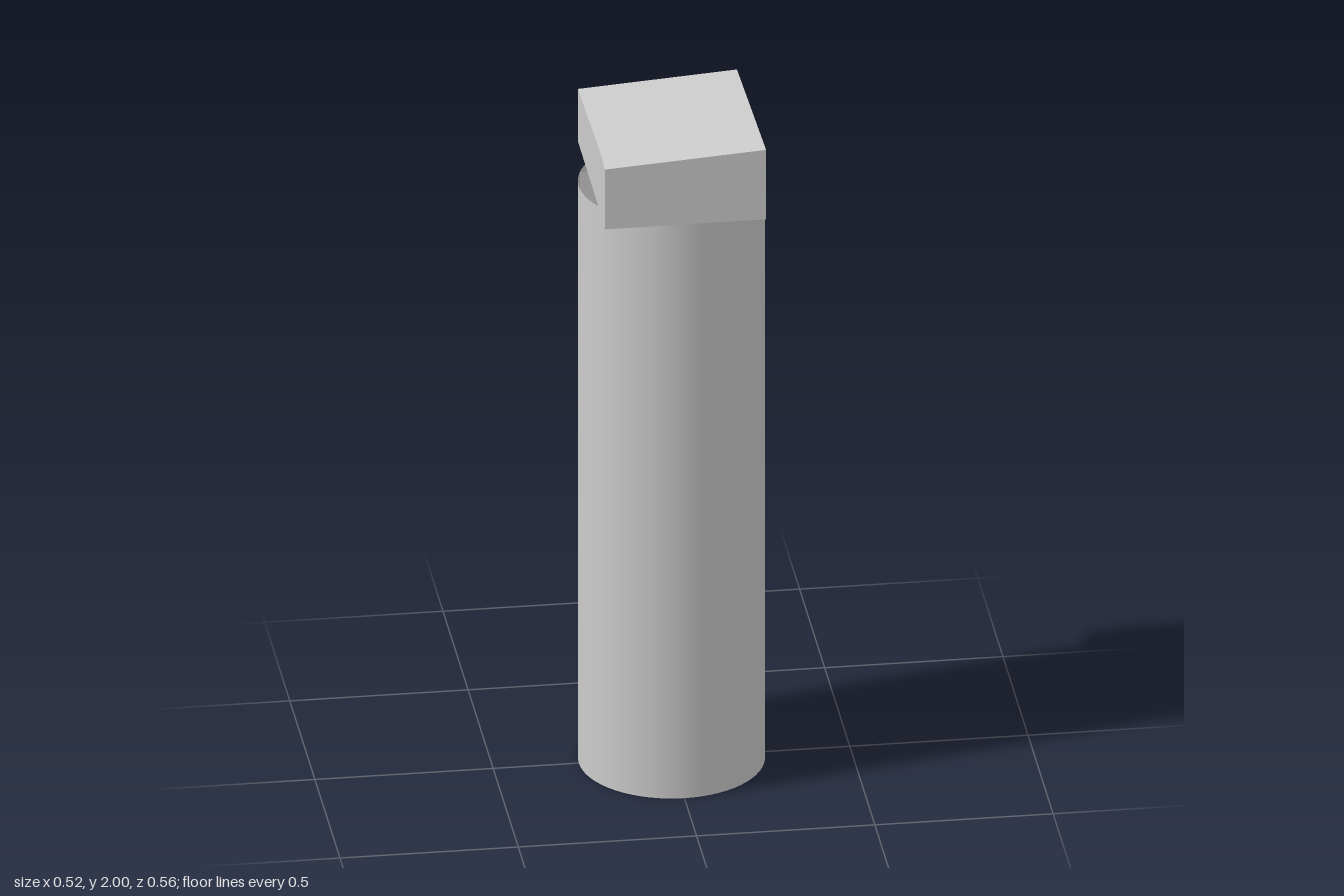
import * as THREE from 'three';

const material = new THREE.MeshStandardMaterial({ color: 0xcccccc, side: THREE.DoubleSide });
const RADIUS = 0.26, TUBE_HEIGHT = 1.785;

function add(parent, name, geometry) {
  const mesh = new THREE.Mesh(geometry, material);
  mesh.name = name;
  parent.add(mesh);
  return mesh;
}

// Hollow head: open underneath, sloping roof with a level strip along the front
function headGeometry() {
  const box = new THREE.BoxGeometry(1, 1, 1, 1, 1, 2);
  const index = Array.from(box.index.array);
  const floor = box.groups[3];
  index.splice(floor.start, floor.count);
  box.setIndex(index);
  box.clearGroups();
  const p = box.attributes.position;
  for (let i = 0; i < p.count; i++) {
    const row = Math.round(p.getZ(i) * 2 + 1);
    const x = Math.sign(p.getX(i)) * [0.223, 0.224, 0.226][row];
    const z = [-0.28, 0.165, 0.28][row];
    const roof = 2 - 0.03 * (0.226 - x) / 0.45 - (row === 0 ? 0.023 : 0);
    p.setXYZ(i, x, p.getY(i) > 0 ? roof : TUBE_HEIGHT, z);
  }
  const flat = box.toNonIndexed();
  flat.computeVertexNormals();
  return flat;
}

// Thin upright partition, pierced by one column of round holes per cell
function partitionGeometry(offset, columns) {
  const half = Math.sqrt(RADIUS ** 2 - offset ** 2);
  const shape = new THREE.Shape();
  shape.moveTo(-half, 0);
  shape.lineTo(half, 0);
  shape.lineTo(half, TUBE_HEIGHT);
  shape.lineTo(-half, TUBE_HEIGHT);
  shape.closePath();
  for (const u of columns) {
    for (let k = 0; k < 10; k++) {
      const hole = new THREE.Path();
      hole.absarc(u, 0.09 + k * 0.178, 0.032, 0, Math.PI * 2, true);
      shape.holes.push(hole);
    }
  }
  return new THREE.ShapeGeometry(shape, 10);
}

export function createModel() {
  const model = new THREE.Group();
  model.name = 'column';

  // Open-ended thin tube
  const tube = new THREE.CylinderGeometry(RADIUS, RADIUS, TUBE_HEIGHT, 64, 1, true);
  tube.translate(0, TUBE_HEIGHT / 2, 0);
  add(model, 'tube', tube);

  // Crossing partitions inside the tube
  const partitions = new THREE.Group();
  partitions.name = 'partitions';
  model.add(partitions);
  for (const offset of [-0.087, 0.087]) {
    const geometry = partitionGeometry(offset, [-0.165, 0, 0.165]);
    add(partitions, 'crossPartition', geometry).position.z = offset;
    const long = add(partitions, 'longPartition', geometry);
    long.rotation.y = Math.PI / 2;
    long.position.x = offset;
  }

  add(model, 'head', headGeometry());
  return model;
}
